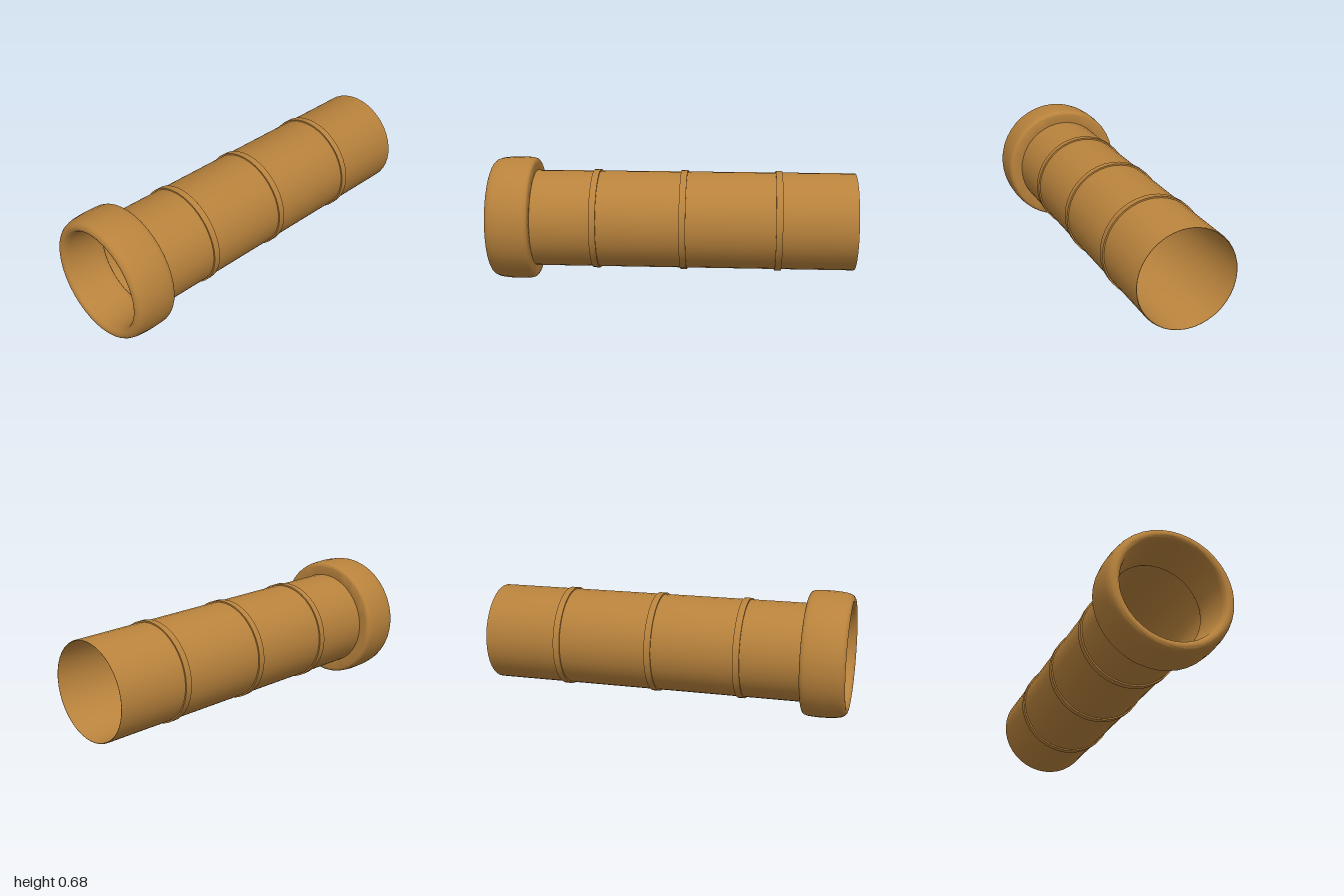
import * as THREE from 'three';
import { toCreasedNormals } from 'three/addons/utils/BufferGeometryUtils.js';

const SIDES = 40;
const AXIS_HEIGHT = 0.344;

export function createModel() {
  const group = new THREE.Group();
  group.name = 'hollowTube';
  const material = new THREE.MeshStandardMaterial({ color: 0xb8823c, side: THREE.DoubleSide });

  // Turn a closed (radius, z) profile about the horizontal z axis
  const turned = (name, points) => {
    const lathe = new THREE.LatheGeometry(points, SIDES);
    const mesh = new THREE.Mesh(toCreasedNormals(lathe, 0.7), material);
    mesh.geometry.rotateX(Math.PI / 2);
    mesh.position.y = AXIS_HEIGHT;
    mesh.name = name;
    group.add(mesh);
  };
  const profile = (pairs) => pairs.map(([r, z]) => new THREE.Vector2(r, z));

  // Thin-walled barrel, open at both ends, with a softened back rim
  turned('barrel', profile([
    [0.262, -0.996], [0.264, -1], [0.266, -1], [0.268, -0.994],
    [0.268, 0.78], [0.262, 0.78], [0.262, -0.996],
  ]));

  // Narrow raised bands round the barrel
  for (const z of [0.425, -0.06, -0.58]) {
    const a = z - 0.018, b = z + 0.018;
    turned('band', profile([[0.266, a], [0.276, a], [0.276, b], [0.266, b], [0.266, a]]));
  }

  // Rounded collar with a mouth that tapers inwards
  const collar = new THREE.Shape();
  collar.moveTo(0.25, 0.765);
  collar.lineTo(0.315, 0.765);
  collar.quadraticCurveTo(0.338, 0.765, 0.34, 0.8);
  collar.quadraticCurveTo(0.346, 0.87, 0.337, 0.945);
  collar.quadraticCurveTo(0.33, 1, 0.3, 1);
  collar.quadraticCurveTo(0.277, 1, 0.271, 0.965);
  collar.lineTo(0.245, 0.8);
  collar.quadraticCurveTo(0.243, 0.765, 0.25, 0.765);
  turned('collar', collar.getPoints(8));

  return group;
}
